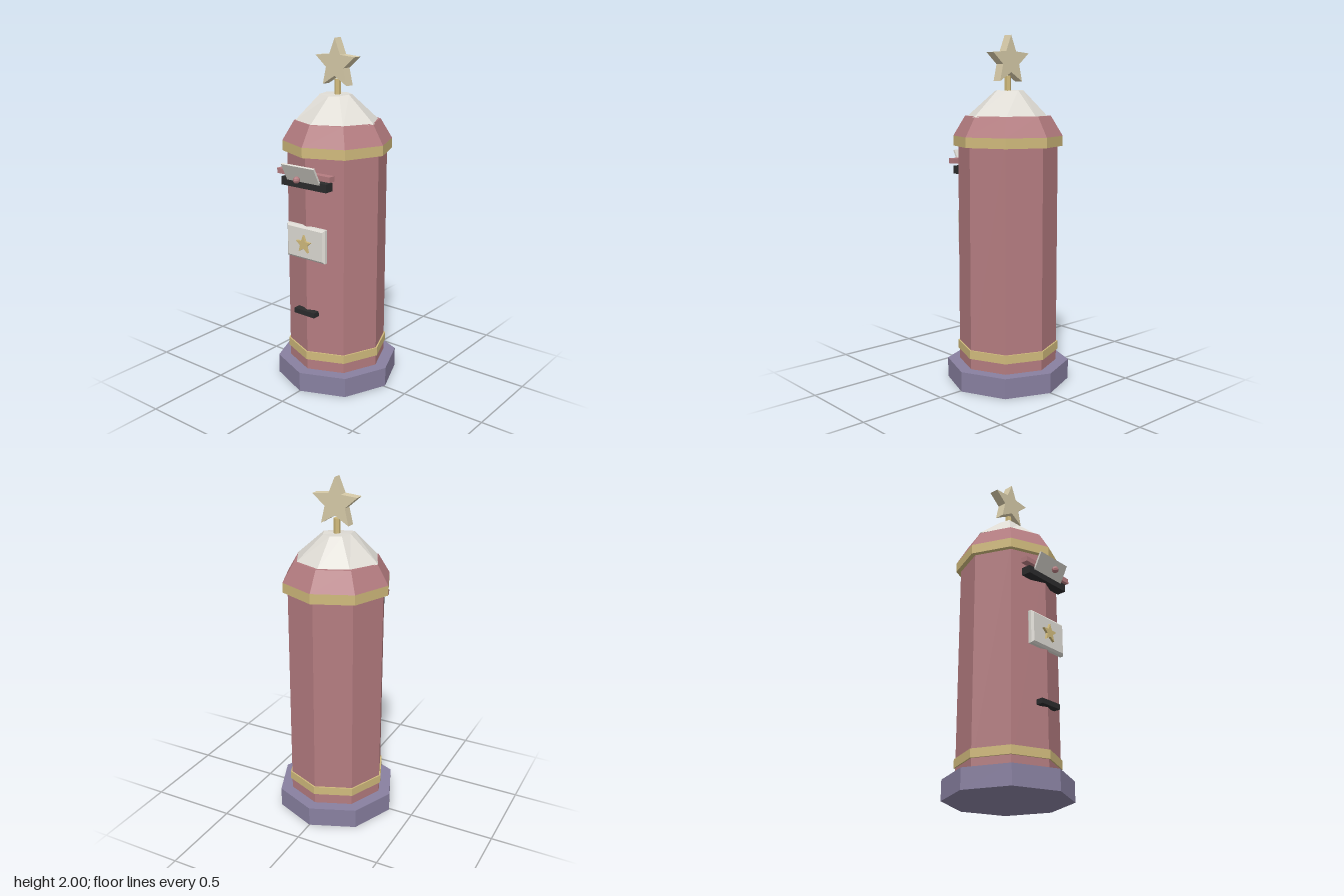
import * as THREE from 'three';

const mat = (name, color, extra = {}) => {
  const m = new THREE.MeshStandardMaterial({ color, flatShading: true, ...extra });
  m.name = name;
  return m;
};

export function createModel() {
  const group = new THREE.Group();
  const red = mat('dustyRed', 0xb47c80);
  const purple = mat('stonePurple', 0x8880a0);
  const gold = mat('gold', 0xd0ba7c);
  const paleGold = mat('paleGold', 0xd6caa8);
  const snow = mat('snowWhite', 0xdedbd4);
  const black = mat('black', 0x2b2b2c);
  const Z = -0.01; // axis of the octagonal body

  const add = (name, geometry, material, x, y, z) => {
    const mesh = new THREE.Mesh(geometry, material);
    mesh.name = name;
    mesh.position.set(x, y, z);
    group.add(mesh);
    return mesh;
  };
  // Prism or frustum between two heights, one corner facing forward
  const ring = (name, material, rBottom, rTop, y0, y1, sides = 8) =>
    add(name, new THREE.CylinderGeometry(rTop, rBottom, y1 - y0, sides), material, 0, (y0 + y1) / 2, Z);
  // Box given by half width, and y and z ranges
  const box = (name, material, halfW, y0, y1, z0, z1) =>
    add(name, new THREE.BoxGeometry(halfW * 2, y1 - y0, z1 - z0), material, 0, (y0 + y1) / 2, (z0 + z1) / 2);
  // Extruded five-pointed star, centred on its own depth
  const star = (outer, inner, depth) => {
    const points = [];
    for (let i = 0; i < 10; i++) {
      const a = Math.PI / 2 + i * Math.PI / 5, r = i % 2 ? inner : outer;
      points.push(new THREE.Vector2(Math.cos(a) * r, Math.sin(a) * r));
    }
    return new THREE.ExtrudeGeometry(new THREE.Shape(points), { depth, bevelEnabled: false })
      .translate(0, 0, -depth / 2);
  };

  // Pillar
  ring('base', purple, 0.357, 0.357, 0, 0.115);
  ring('body', red, 0.285, 0.285, 0.115, 1.4);
  ring('lowerBand', gold, 0.294, 0.294, 0.178, 0.227);
  ring('upperBand', gold, 0.313, 0.313, 1.38, 1.437);
  ring('roof', red, 0.313, 0.245, 1.437, 1.55);

  // Snow cap with uneven rings
  const cap = ring('snowCap', snow, 0.25, 0.08, 1.542, 1.69);
  const topR = [0.081, 0.075, 0.08, 0.08, 0.086, 0.088, 0.083, 0.1];
  const bottomR = [0.251, 0.24, 0.25, 0.238, 0.232, 0.228, 0.25, 0.242];
  const lift = [-0.004, -0.002, 0.004, 0, 0.002, 0.003, 0.006, 0.004];
  const p = cap.geometry.attributes.position;
  for (let i = 0; i < p.count; i++) {
    const x = p.getX(i), z = p.getZ(i);
    if (Math.hypot(x, z) < 0.01) continue;
    const a = Math.atan2(x, z), k = (Math.round(a / (Math.PI / 4)) + 8) % 8;
    const r = (p.getY(i) > 0 ? topR : bottomR)[k];
    p.setXYZ(i, Math.sin(a) * r, p.getY(i) + lift[k], Math.cos(a) * r);
  }

  // Finial
  ring('finialPole', gold, 0.019, 0.019, 1.66, 1.775, 6);
  add('finialStar', star(0.142, 0.064, 0.056), paleGold, 0, 1.858, Z);

  // Letter slot with ledge, tilted flap and knob
  box('letterSlot', black, 0.158, 1.208, 1.255, 0.238, 0.294);
  box('slotLedge', red, 0.186, 1.27, 1.3, 0.256, 0.297);
  const flap = add('slotFlap', new THREE.BoxGeometry(0.23, 0.108, 0.012), snow, 0, 1.294, 0.315);
  flap.rotation.x = 0.48;
  add('flapKnob', new THREE.SphereGeometry(0.02, 8, 6), red, 0, 1.268, 0.349);

  // Notice plate with chamfered edges and small star
  const w = 0.135, h = 0.097, c = 0.012;
  const outline = new THREE.Shape([
    [-w + c, -h + c], [w - c, -h + c], [w - c, h - c], [-w + c, h - c],
  ].map(([x, y]) => new THREE.Vector2(x, y)));
  add('noticePlate', new THREE.ExtrudeGeometry(outline, {
    depth: 0.02, bevelEnabled: true, bevelSize: c, bevelThickness: 0.011, bevelSegments: 1,
  }), snow, 0.002, 0.892, 0.258);
  add('plateStar', star(0.055, 0.024, 0.018), gold, 0, 0.888, 0.294);

  // Door handle
  box('doorHandle', black, 0.073, 0.461, 0.49, 0.257, 0.299);

  return group;
}
